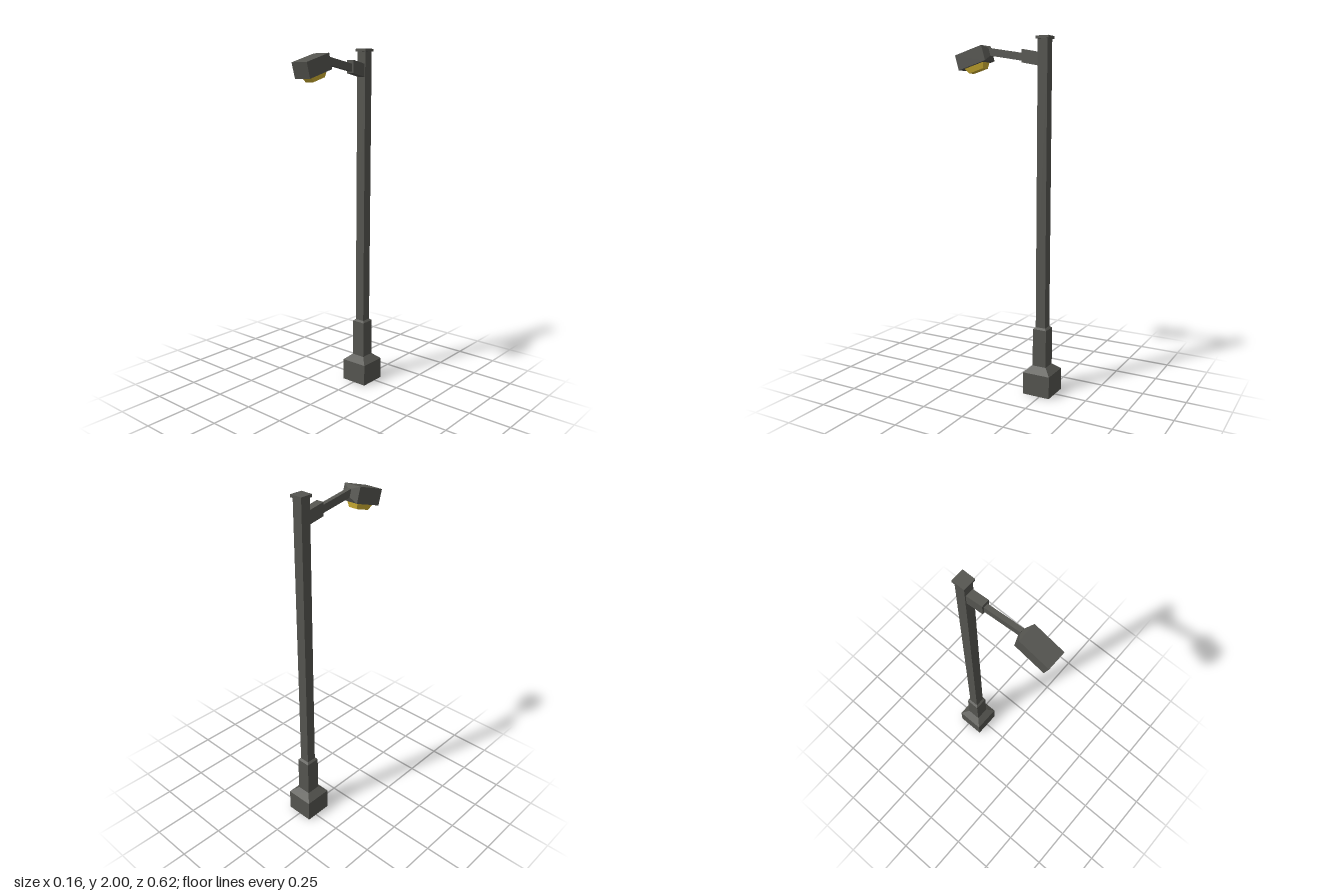
import * as THREE from 'three';

const metal = new THREE.MeshStandardMaterial({ color: 0x555550 });
metal.name = 'dark grey metal';
const glow = new THREE.MeshStandardMaterial({ color: 0xd4b434 });
glow.name = 'yellow lens';

// Closed loft through rectangles stacked along +y.
// Each section is [y, halfX, halfZ, shift], where shift moves the rectangle towards -z.
function loft(name, sections, material) {
  const pos = [];
  const corners = ([y, a, b, s = 0]) => [[-a, y, b - s], [a, y, b - s], [a, y, -b - s], [-a, y, -b - s]];
  const quad = (a, b, c, d) => pos.push(...a, ...b, ...c, ...a, ...c, ...d);
  const rings = sections.map(corners);
  for (let i = 0; i < rings.length - 1; i++) {
    const lo = rings[i], hi = rings[i + 1];
    for (let j = 0; j < 4; j++) {
      const k = (j + 1) % 4;
      quad(lo[j], lo[k], hi[k], hi[j]);
    }
  }
  const first = rings[0], last = rings[rings.length - 1];
  quad(first[3], first[2], first[1], first[0]);
  quad(...last);
  const geometry = new THREE.BufferGeometry();
  geometry.setAttribute('position', new THREE.Float32BufferAttribute(pos, 3));
  geometry.computeVertexNormals();
  const mesh = new THREE.Mesh(geometry, material);
  mesh.name = name;
  return mesh;
}

// Same loft, running along +z instead: sections are [z, halfX, halfY, rise].
function loftForward(name, sections, material) {
  const mesh = loft(name, sections, material);
  mesh.rotation.x = Math.PI / 2;
  return mesh;
}

export function createModel() {
  const model = new THREE.Group();
  model.name = 'streetLamp';

  // Upright: footing, sleeve, pole and cap
  const post = new THREE.Group();
  post.name = 'post';
  post.position.z = -0.228;
  post.add(
    loft('footing', [[0, 0.082, 0.082], [0.128, 0.082, 0.082], [0.163, 0.041, 0.041]], metal),
    loft('sleeve', [[0.16, 0.041, 0.041], [0.38, 0.041, 0.041], [0.39, 0.029, 0.029]], metal),
    loft('pole', [[0.38, 0.029, 0.029], [1.99, 0.029, 0.029]], metal),
    loft('cap', [[1.985, 0.037, 0.037], [2, 0.037, 0.037]], metal)
  );

  // Arm rising gently towards the front, held by a collar; both have upright ends
  const bracket = new THREE.Group();
  bracket.name = 'bracket';
  bracket.add(
    loftForward('collar', [[-0.21, 0.023, 0.036, 1.879], [-0.1, 0.023, 0.036, 1.9]], metal),
    loftForward('arm', [[-0.12, 0.013, 0.021, 1.891], [0.113, 0.013, 0.021, 1.93]], metal)
  );

  // Lamp head tipped downwards, with a tapered rear
  const head = new THREE.Group();
  head.name = 'lampHead';
  head.position.set(0, 1.923, 0.126);
  head.rotation.x = 0.286;
  const lens = loft('lens', [[-0.075, 0.027, 0.047], [-0.042, 0.037, 0.063]], glow);
  lens.position.z = 0.087;
  head.add(
    loftForward('housing', [[-0.019, 0.013, 0.022, 0.002], [0, 0.0535, 0.0435], [0.18, 0.0535, 0.0435]], metal),
    lens
  );

  model.add(post, bracket, head);
  return model;
}
